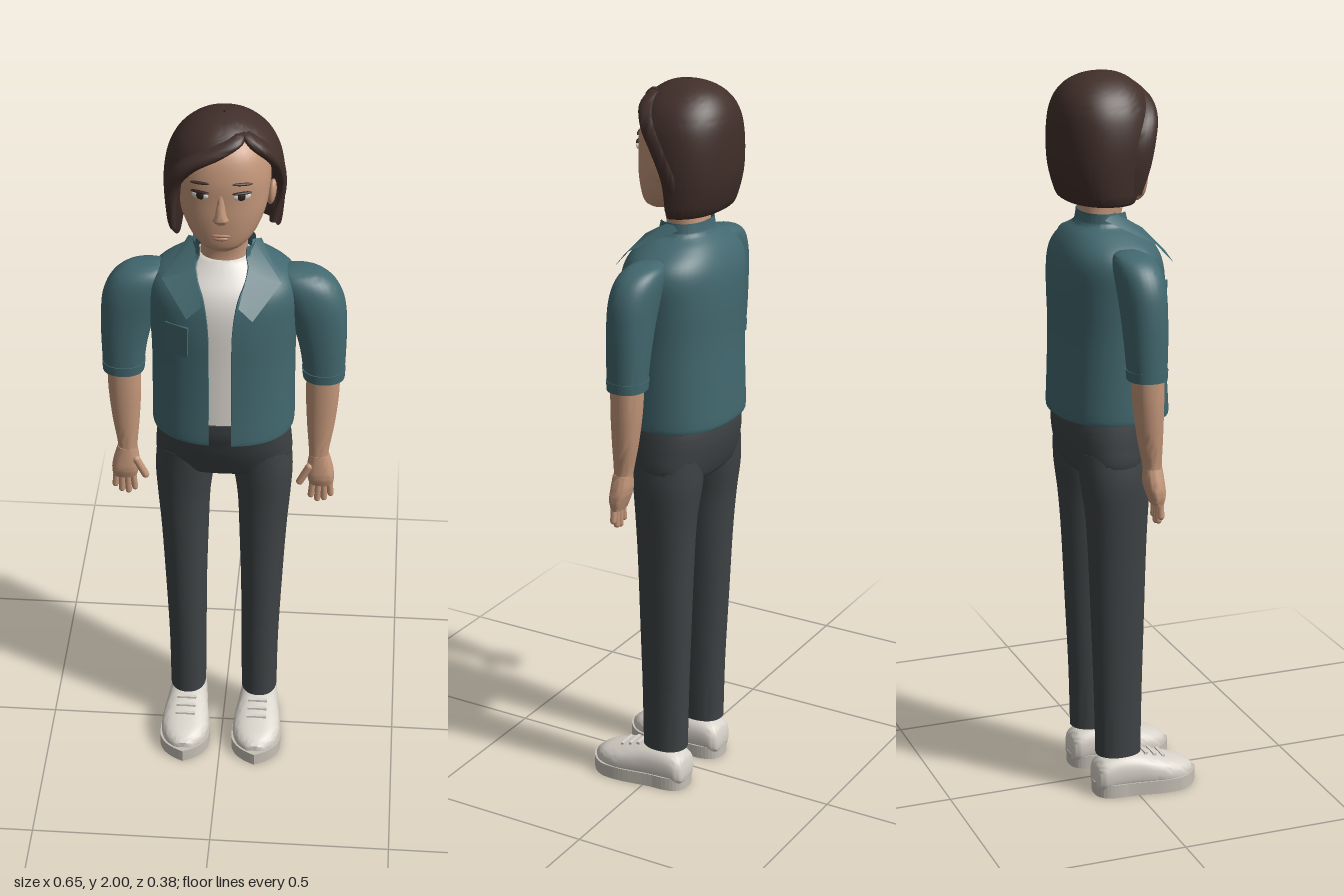
import * as THREE from 'three';
import { toCreasedNormals } from 'three/addons/utils/BufferGeometryUtils.js';

const mat = (name, color, side = THREE.FrontSide) => {
  const m = new THREE.MeshStandardMaterial({ color, side });
  m.name = name;
  return m;
};

// Surface through rows of points; optionally wrapped around and capped
function skin(rows, wrap, caps) {
  const n = rows[0].length, pos = rows.flat(2), idx = [];
  for (let i = 0; i < rows.length - 1; i++)
    for (let j = 0; j < (wrap ? n : n - 1); j++) {
      const a = i * n + j, b = i * n + (j + 1) % n;
      idx.push(a, b, b + n, a, b + n, a + n);
    }
  if (caps) [0, rows.length - 1].forEach((r, top) => {
    const c = pos.length / 3;
    for (let k = 0; k < 3; k++) pos.push(rows[r].reduce((t, p) => t + p[k], 0) / n);
    for (let j = 0; j < n; j++) {
      const a = r * n + j, b = r * n + (j + 1) % n;
      top ? idx.push(c, a, b) : idx.push(c, b, a);
    }
  });
  const g = new THREE.BufferGeometry();
  g.setAttribute('position', new THREE.Float32BufferAttribute(pos, 3));
  g.setIndex(idx);
  g.computeVertexNormals();
  return g;
}

// Catmull-Rom smoothing of every column of a section table
function smooth(spec, sub = 4) {
  const out = [], at = i => spec[Math.min(Math.max(i, 0), spec.length - 1)];
  for (let i = 0; i < spec.length - 1; i++)
    for (let k = 0; k < sub; k++) {
      const t = k / sub;
      out.push(spec[i].map((b, c) => {
        const a = at(i - 1)[c], d = at(i + 1)[c], e = at(i + 2)[c];
        return b + 0.5 * t * (d - a + t * (2 * a - 5 * b + 4 * d - e + t * (3 * (b - d) + e - a)));
      }));
    }
  out.push(spec[spec.length - 1]);
  return out;
}

// Sections: [y, centre x, half width, front z, back z, (start deg, end deg, inner ratio)]
// With the last three, the section is an open shell with thickness.
function loft(spec, { s = 1, n = 2.2, seg = 32 } = {}) {
  const open = spec[0].length > 5;
  const rows = smooth(spec).map(([y, cx, rx, zf, zb, a0 = 0, a1 = 360, ratio]) => {
    const cz = (zf + zb) / 2, rz = (zf - zb) / 2;
    const point = (j, k) => {
      const a = THREE.MathUtils.degToRad(a0 + (a1 - a0) * j / seg), S = Math.sin(a), C = Math.cos(a);
      return [cx * s + k * rx * Math.sign(S) * Math.abs(S) ** (2 / n), y,
        cz + k * rz * Math.sign(C) * Math.abs(C) ** (2 / n)];
    };
    const ring = Array.from({ length: open ? seg + 1 : seg }, (_, j) => point(j, 1));
    if (open) for (let j = seg; j >= 0; j--) ring.push(point(j, ratio));
    return ring;
  });
  return toCreasedNormals(skin(rows, true, !open), 0.8);
}

export function createModel() {
  const root = new THREE.Group();
  const M = {
    skin: mat('skin', 0xc4977a), hair: mat('hair', 0x412f2a, THREE.DoubleSide),
    jacket: mat('jacket', 0x42686f, THREE.DoubleSide), pants: mat('trousers', 0x3e4345),
    shirt: mat('shirt', 0xdcd8d2), shoe: mat('shoe', 0xd8d3ca), sole: mat('sole', 0xc6c0b6),
    eye: mat('eye', 0x2e211d), white: mat('eyeWhite', 0xd9d0c8), lip: mat('lips', 0xb07f68),
  };
  const add = (name, geo, m, x = 0, y = 0, z = 0, ry = 0, rz = 0) => {
    const mesh = new THREE.Mesh(geo, m);
    mesh.name = name;
    mesh.position.set(x, y, z);
    mesh.rotation.set(0, ry, rz);
    root.add(mesh);
    return mesh;
  };
  const ball = (x, y, z) => new THREE.SphereGeometry(1, 20, 14).scale(x, y, z);

  // Head and neck
  add('head', loft([
    [1.655, 0, 0.03, 0.055, 0.0], [1.67, 0, 0.058, 0.066, -0.03], [1.7, 0, 0.085, 0.072, -0.07],
    [1.75, 0, 0.108, 0.075, -0.11], [1.8, 0, 0.118, 0.074, -0.135], [1.86, 0, 0.12, 0.072, -0.15],
    [1.92, 0, 0.106, 0.054, -0.145], [1.96, 0, 0.065, 0.015, -0.11], [1.975, 0, 0.02, -0.03, -0.07]]), M.skin);
  add('neck', loft([[1.52, 0, 0.075, 0.015, -0.12], [1.6, 0, 0.062, 0.0, -0.112],
    [1.66, 0, 0.06, 0.01, -0.105], [1.72, 0, 0.06, 0.02, -0.1]]), M.skin);
  add('nose', loft([[1.745, 0, 0.012, 0.078, 0.05], [1.757, 0, 0.021, 0.09, 0.05], [1.772, 0, 0.015, 0.09, 0.05],
    [1.81, 0, 0.01, 0.079, 0.05], [1.84, 0, 0.009, 0.071, 0.05]], { seg: 16 }), M.skin);
  add('upperLip', ball(0.025, 0.005, 0.006), M.lip, 0, 1.711, 0.071);
  add('lowerLip', ball(0.02, 0.006, 0.007), M.lip, 0, 1.702, 0.07);
  for (const s of [1, -1]) {
    add('eyeWhite', ball(0.023, 0.011, 0.006), M.white, s * 0.053, 1.824, 0.065, s * 0.32);
    add('iris', ball(0.012, 0.011, 0.005), M.eye, s * 0.052, 1.825, 0.068, s * 0.32);
    add('eyelid', ball(0.025, 0.004, 0.006), M.eye, s * 0.053, 1.834, 0.066, s * 0.32);
    add('eyebrow', ball(0.027, 0.004, 0.005), M.hair, s * 0.054, 1.858, 0.063, s * 0.34, -s * 0.08);
    add('ear', ball(0.012, 0.036, 0.022), M.skin, s * 0.122, 1.787, -0.03, 0, -s * 0.12);
  }

  // Bobbed hair, open over the face with a parting on its left
  add('hair', loft([
    [1.664, 0, 0.138, 0.03, -0.15, 95, 302, 0.995], [1.68, 0, 0.147, 0.045, -0.165, 94, 304, 0.88],
    [1.75, 0, 0.154, 0.06, -0.185, 92, 309, 0.8], [1.82, 0, 0.155, 0.075, -0.19, 87, 312, 0.8],
    [1.88, 0, 0.147, 0.075, -0.187, 72, 322, 0.8], [1.92, 0, 0.132, 0.067, -0.178, 58, 338, 0.8],
    [1.95, 0, 0.111, 0.052, -0.162, 48, 367, 0.8], [1.975, 0, 0.08, 0.03, -0.137, 35, 394, 0.8],
    [1.992, 0, 0.045, -0.002, -0.1, 35, 395, 0.8], [2.0, 0, 0.003, -0.045, -0.055, 35, 395, 0.8]],
  { seg: 56 }), M.hair);
  add('fringe', loft([
    [1.69, -0.128, 0.008, 0.014, -0.02], [1.76, -0.131, 0.014, 0.038, -0.03], [1.83, -0.124, 0.02, 0.055, -0.02],
    [1.885, -0.092, 0.03, 0.071, 0.0], [1.925, -0.036, 0.042, 0.076, 0.01], [1.955, 0.015, 0.038, 0.06, 0.0],
    [1.977, 0.045, 0.012, 0.032, 0.0]], { seg: 20 }), M.hair);
  add('sideLock', loft([
    [1.68, 0.126, 0.012, -0.055, -0.1], [1.76, 0.145, 0.011, -0.055, -0.1], [1.83, 0.144, 0.013, -0.025, -0.08],
    [1.89, 0.128, 0.018, 0.014, -0.05], [1.94, 0.09, 0.024, 0.04, -0.02], [1.975, 0.055, 0.012, 0.03, -0.01]],
  { seg: 20 }), M.hair);

  // Shirt and open jacket
  add('shirt', loft([
    [1.13, 0, 0.165, 0.1, -0.16], [1.3, 0, 0.168, 0.094, -0.16], [1.45, 0, 0.168, 0.09, -0.16],
    [1.52, 0, 0.155, 0.072, -0.15], [1.565, 0, 0.105, 0.035, -0.125], [1.595, 0, 0.069, 0.008, -0.112]]), M.shirt);
  const jacketRow = (y, rx, zf, zb, gap, ratio = 0.96) => [y, 0, rx, zf, zb, gap, 360 - gap, ratio];
  add('jacket', loft([
    jacketRow(1.088, 0.189, 0.119, -0.187, 7, 0.995), jacketRow(1.1, 0.192, 0.121, -0.191, 7),
    jacketRow(1.2, 0.191, 0.115, -0.187, 7), jacketRow(1.32, 0.191, 0.111, -0.184, 7),
    jacketRow(1.42, 0.196, 0.109, -0.186, 7), jacketRow(1.5, 0.2, 0.1, -0.182, 9),
    jacketRow(1.545, 0.182, 0.08, -0.168, 14), jacketRow(1.58, 0.132, 0.048, -0.145, 27),
    jacketRow(1.602, 0.09, 0.022, -0.12, 42), jacketRow(1.62, 0.084, 0.015, -0.114, 44),
    jacketRow(1.635, 0.082, 0.012, -0.112, 46, 0.995)], { n: 2.3, seg: 48 }), M.jacket);
  const pocket = new THREE.Shape();
  pocket.moveTo(-0.034, 0.046).lineTo(0.034, 0.046).lineTo(0.034, -0.038).lineTo(0.026, -0.046)
    .lineTo(-0.026, -0.046).lineTo(-0.034, -0.038);
  add('chestPocket', new THREE.ExtrudeGeometry(pocket, { depth: 0.009, bevelEnabled: false }),
    M.jacket, -0.112, 1.402, 0.082, -0.46);

  for (const s of [1, -1]) {
    const flip = rows => rows.map(r => r.map(([x, y, z]) => [s * x, y, z]));
    add('lapel', toCreasedNormals(skin(flip([
      [[0.074, 1.638, -0.04], [0.068, 1.59, 0.04], [0.048, 1.52, 0.112]],
      [[0.095, 1.622, -0.075], [0.155, 1.562, 0.045], [0.085, 1.49, 0.125]]])), 0.8), M.jacket);

    // Sleeve with cuff, forearm and hand
    add('sleeve', loft([
      [1.25, 0.268, 0.055, 0.027, -0.075], [1.32, 0.264, 0.061, 0.03, -0.08], [1.4, 0.254, 0.071, 0.032, -0.085],
      [1.47, 0.238, 0.08, 0.032, -0.09], [1.52, 0.218, 0.077, 0.024, -0.092],
      [1.548, 0.2, 0.058, 0.005, -0.085], [1.558, 0.185, 0.03, -0.02, -0.065]], { s }), M.jacket);
    add('cuff', loft([[1.235, 0.268, 0.056, 0.028, -0.076], [1.262, 0.267, 0.058, 0.03, -0.078]], { s }), M.jacket);
    add('forearm', loft([
      [0.96, 0.262, 0.026, 0.02, -0.028], [1.0, 0.261, 0.027, 0.019, -0.032], [1.08, 0.264, 0.037, 0.02, -0.048],
      [1.17, 0.266, 0.044, 0.021, -0.06], [1.25, 0.267, 0.045, 0.02, -0.065]], { s, seg: 24 }), M.skin);
    add('palm', loft([
      [0.893, 0.27, 0.032, 0.018, -0.012], [0.92, 0.268, 0.037, 0.025, -0.022], [0.95, 0.265, 0.035, 0.024, -0.03],
      [0.99, 0.262, 0.026, 0.02, -0.03]], { s, n: 2.5, seg: 24 }), M.skin);
    [0.05, 0.062, 0.058, 0.042].forEach((len, i) => {
      const x = 0.245 + i * 0.0165;
      add('finger', new THREE.CapsuleGeometry(0.0088, len, 4, 10), M.skin, s * x, 0.905 - len / 2, 0.006, 0, s * (i - 1.5) * 0.06);
    });
    add('thumb', new THREE.CapsuleGeometry(0.0105, 0.055, 4, 10), M.skin, s * 0.224, 0.93, 0.014, 0, -s * 0.45);

    // Trouser leg
    add('trouserLeg', loft([
      [0.118, 0.104, 0.051, 0.021, -0.106], [0.3, 0.104, 0.053, 0.024, -0.11], [0.5, 0.107, 0.058, 0.028, -0.118],
      [0.7, 0.109, 0.066, 0.032, -0.126], [0.82, 0.111, 0.073, 0.036, -0.134], [0.92, 0.107, 0.082, 0.044, -0.147],
      [1.0, 0.1, 0.08, 0.05, -0.15]], { s }), M.pants);

    // Shoe: flat sole, domed upper and laces
    const sole = new THREE.Shape();
    sole.moveTo(0, -0.115).bezierCurveTo(0.05, -0.115, 0.056, -0.08, 0.056, -0.03)
      .bezierCurveTo(0.062, 0.03, 0.076, 0.06, 0.07, 0.12).quadraticCurveTo(0.06, 0.165, 0, 0.19)
      .quadraticCurveTo(-0.06, 0.165, -0.07, 0.12).bezierCurveTo(-0.076, 0.06, -0.062, 0.03, -0.056, -0.03)
      .bezierCurveTo(-0.056, -0.08, -0.05, -0.115, 0, -0.115);
    add('sole', new THREE.ExtrudeGeometry(sole, { depth: 0.038, bevelEnabled: false, curveSegments: 10 })
      .rotateX(Math.PI / 2).translate(0, 0.038, 0), M.sole, s * 0.104);
    add('shoeUpper', loft([
      [-0.113, 0, 0.03, -0.02, -0.07], [-0.1, 0, 0.048, -0.01, -0.1], [-0.05, 0, 0.054, -0.01, -0.116],
      [0.0, 0, 0.059, -0.01, -0.115], [0.05, 0, 0.066, -0.008, -0.102], [0.1, 0, 0.068, -0.006, -0.087],
      [0.145, 0, 0.053, -0.008, -0.073], [0.172, 0, 0.024, -0.02, -0.055]], { n: 2.6 })
      .rotateX(Math.PI / 2), M.shoe, s * 0.104);
    for (let i = 0; i < 3; i++)
      add('lace', new THREE.BoxGeometry(0.056, 0.007, 0.009), M.shoe, s * 0.104, 0.109 - i * 0.008, 0.032 + i * 0.026);
  }

  // Trouser seat and waist
  add('trouserSeat', loft([
    [0.922, 0, 0.1, 0.0, -0.1], [0.935, 0, 0.165, 0.036, -0.143], [0.97, 0, 0.186, 0.055, -0.16],
    [1.02, 0, 0.184, 0.076, -0.172], [1.06, 0, 0.18, 0.088, -0.176], [1.1, 0, 0.174, 0.1, -0.172],
    [1.14, 0, 0.168, 0.104, -0.165]], { n: 2.4 }), M.pants);

  return root;
}
